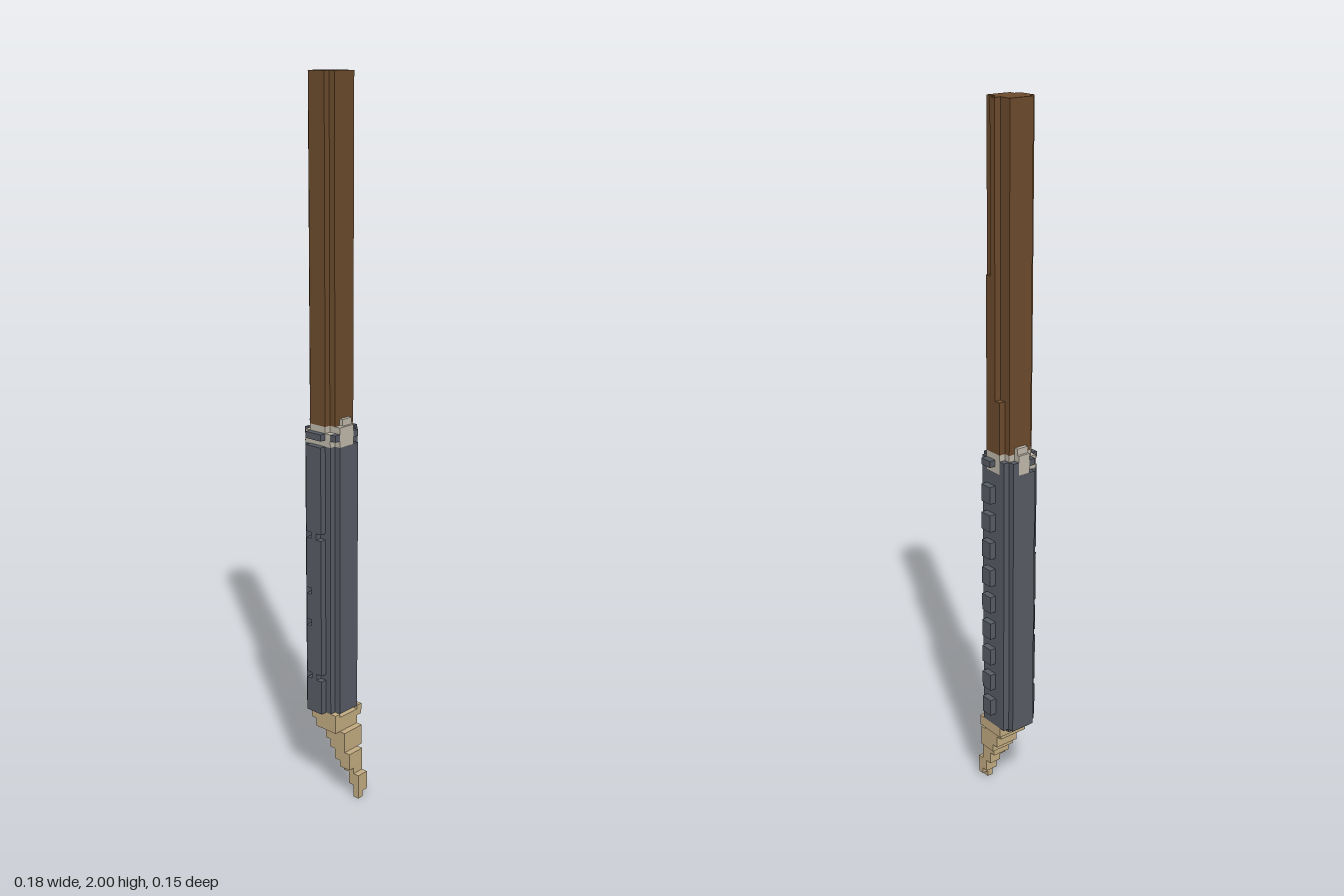
import * as THREE from 'three';
import { mergeGeometries } from 'three/addons/utils/BufferGeometryUtils.js';

const U = 2 / 110; // edge of one block

const mat = (name, color) => {
  const m = new THREE.MeshStandardMaterial({ color });
  m.name = name;
  return m;
};

// one box from block coordinates: [x0, x1, y0, y1, z0, z1]
function block([x0, x1, y0, y1, z0, z1]) {
  const g = new THREE.BoxGeometry((x1 - x0) * U, (y1 - y0) * U, (z1 - z0) * U);
  g.translate((x0 + x1) / 2 * U, (y0 + y1) / 2 * U, (z0 + z1) / 2 * U);
  return g;
}

export function createModel() {
  const model = new THREE.Group();
  model.name = 'polearm';
  const wood = mat('brown wood', 0x6b4a2c);
  const iron = mat('dark iron', 0x565a63);
  const bone = mat('tan bone', 0xc0aa80);
  const binding = mat('pale binding', 0xbeb7a8);

  const add = (name, material, boxes) => {
    const mesh = new THREE.Mesh(mergeGeometries(boxes.map(block)), material);
    mesh.name = name;
    model.add(mesh);
  };

  // shaft: chamfered column with a stepped ridge down the back
  add('shaft', wood, [
    [-4, 1, 60, 110, -2, 2],
    [-3, 0, 60, 110, 2, 3],
    [-2, -1, 60, 110, -3, -2],
    [-1, 0, 60, 86, -3, -2],
    [-3, -2, 60, 68, -3, -2],
  ]);

  // collar between shaft and sleeve
  add('collar', binding, [
    [-4, 1, 57, 60, -2, 2],
    [-3, 0, 57, 60, -3, 3],
    [-5, -4, 57, 60, -1, 1],
    [1, 2, 57, 60, -1, 2],
    [-4, -3, 57, 59, 2, 3],
    [0, 1, 57, 59, 2, 3],
    [1, 1.6, 60, 61, -1, 1],
    [-4.6, -4, 60, 61, -1, 1],
  ]);
  add('collarStuds', iron, [
    [-5, -4, 57, 59, -2, -1],
    [-5, -4, 58, 59, 1, 2],
    [1, 2, 58, 59, -2, -1],
    [1, 2, 58, 59, 2, 3],
    [-4, -3, 57, 59, -3, -2],
    [0, 1, 57, 59, -3, -2],
    [-3, 0, 58, 59, 3, 4],
    [-2, 0, 58, 59, -4, -3],
  ]);

  // sleeve body
  add('sleeve', iron, [
    [-5, 2, 14, 57, -2, 2],
    [-4, 1, 14, 57, -3, 3],
    [-4, 1, 13.4, 14, -2, 2],
  ]);

  // front plate with small side notches
  const plate = [[-2, -1, 14, 57, 3, 4]];
  const strip = (x, notches) => {
    let y = 14;
    for (const n of [...notches, 57]) {
      plate.push([x, x + 1, y, n, 3, 4]);
      y = n + 1;
    }
  };
  strip(-3, [19.5, 28.3, 33.5, 42.5]);
  strip(-1, [19.5, 42.5]);
  add('frontPlate', iron, plate);

  // row of teeth along the back
  const teeth = [];
  for (let i = 0; i < 9; i++) {
    const y = 16.2 + i * 4.5;
    teeth.push([-2, 0, y, y + 2.7, -4, -3]);
  }
  add('backTeeth', iron, teeth);

  // bent point stepping down towards the left side
  add('point', bone, [
    [-3, 2, 12.3, 13.4, -3, 3],
    [-3, 2, 13.4, 14, -3, -2],
    [-3, 2, 13.4, 14, 2, 3],
    [-2, 2, 11, 12.3, -2, 3],
    [-1, 3, 9, 11, -2, 2],
    [0, 3, 7.7, 9, -2, 2],
    [1, 4, 6, 7.7, -1, 2],
    [2, 4, 5, 6, -1, 2],
    [2, 4, 4, 5, -1, 1],
    [3, 5, 2, 4, -1, 1],
    [4, 5, 1, 2, -1, 1],
    [4, 5, 0, 1, 0, 1],
  ]);

  return model;
}
